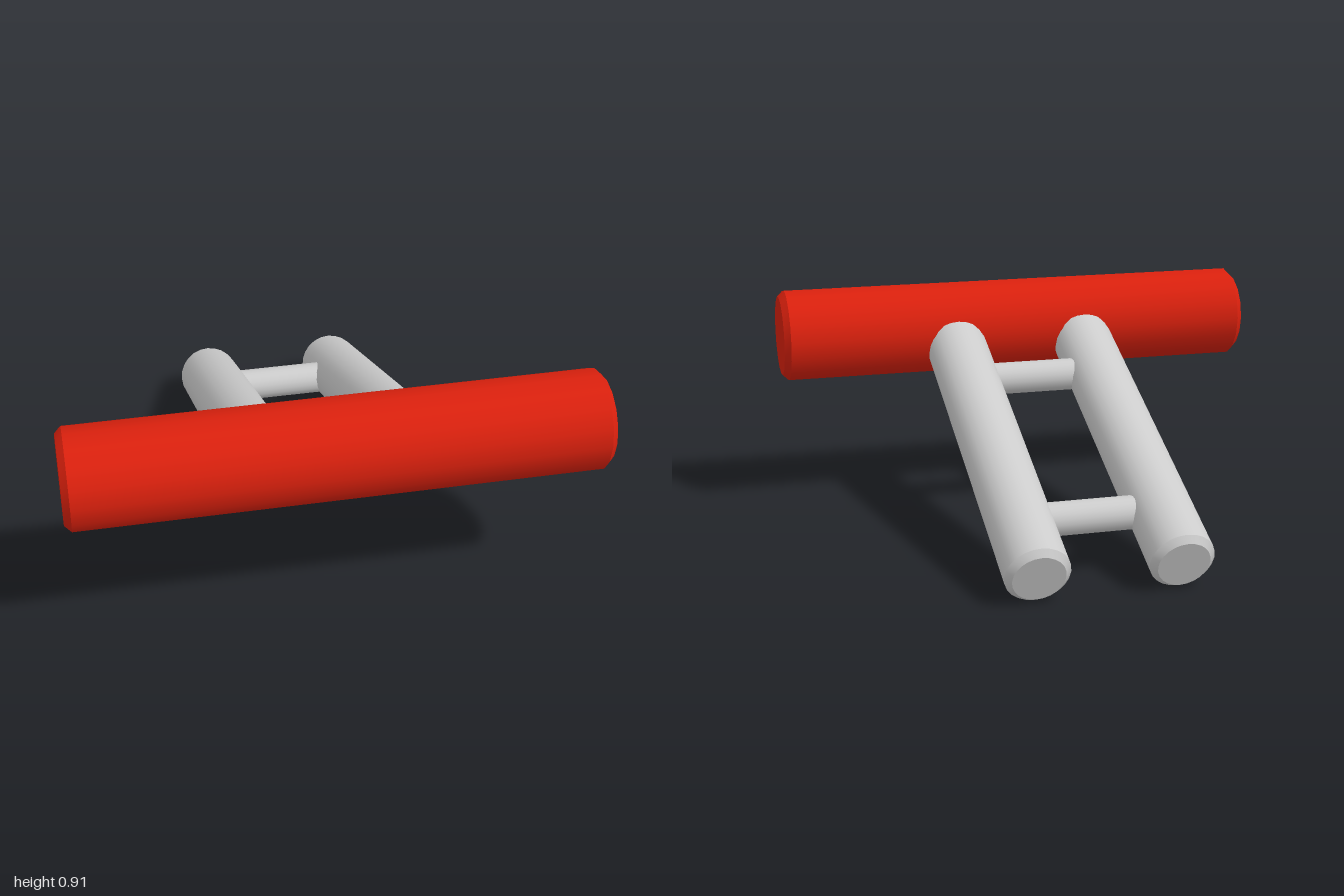
import * as THREE from 'three';
import { toCreasedNormals } from 'three/addons/utils/BufferGeometryUtils.js';

const grey = new THREE.MeshStandardMaterial({ color: 0xcccccc });
const red = new THREE.MeshStandardMaterial({ color: 0xd9200d });

// Solid cylinder along y with chamfered rims
function chamferedRod(radius, length, chamfer, sides) {
  const h = length / 2;
  const profile = [
    [0, -h], [radius - chamfer, -h], [radius, -h + chamfer],
    [radius, h - chamfer], [radius - chamfer, h], [0, h],
  ].map(([x, y]) => new THREE.Vector2(x, y));
  return toCreasedNormals(new THREE.LatheGeometry(profile, sides), 0.5);
}

function addPart(parent, name, geometry, material, position) {
  const mesh = new THREE.Mesh(geometry, material);
  mesh.name = name;
  mesh.position.set(...position);
  parent.add(mesh);
  return mesh;
}

export function createModel() {
  const model = new THREE.Group();
  model.name = 'paddedRoller';

  // Wide padded roller across the front
  const roller = addPart(model, 'roller', chamferedRod(0.19, 2, 0.025, 16), red, [0, 0.732, 0.66]);
  roller.rotation.z = Math.PI / 2;

  // Ladder frame: built along its own y axis, then tilted forward
  const frame = new THREE.Group();
  frame.name = 'frame';
  frame.position.set(0, 0.398, -0.134);
  frame.rotation.x = THREE.MathUtils.degToRad(90 - 22.8);
  model.add(frame);

  // Two rails
  const rail = chamferedRod(0.125, 1.47, 0.024, 24);
  for (const side of [-1, 1]) {
    addPart(frame, side > 0 ? 'leftRail' : 'rightRail', rail, grey, [side * 0.275, 0, 0]);
  }

  // Two rungs joining the rails
  const rung = new THREE.CylinderGeometry(0.065, 0.065, 0.5, 20);
  for (const [name, y] of [['lowerRung', -0.425], ['upperRung', 0.465]]) {
    addPart(frame, name, rung, grey, [0, y, 0]).rotation.z = Math.PI / 2;
  }

  return model;
}
